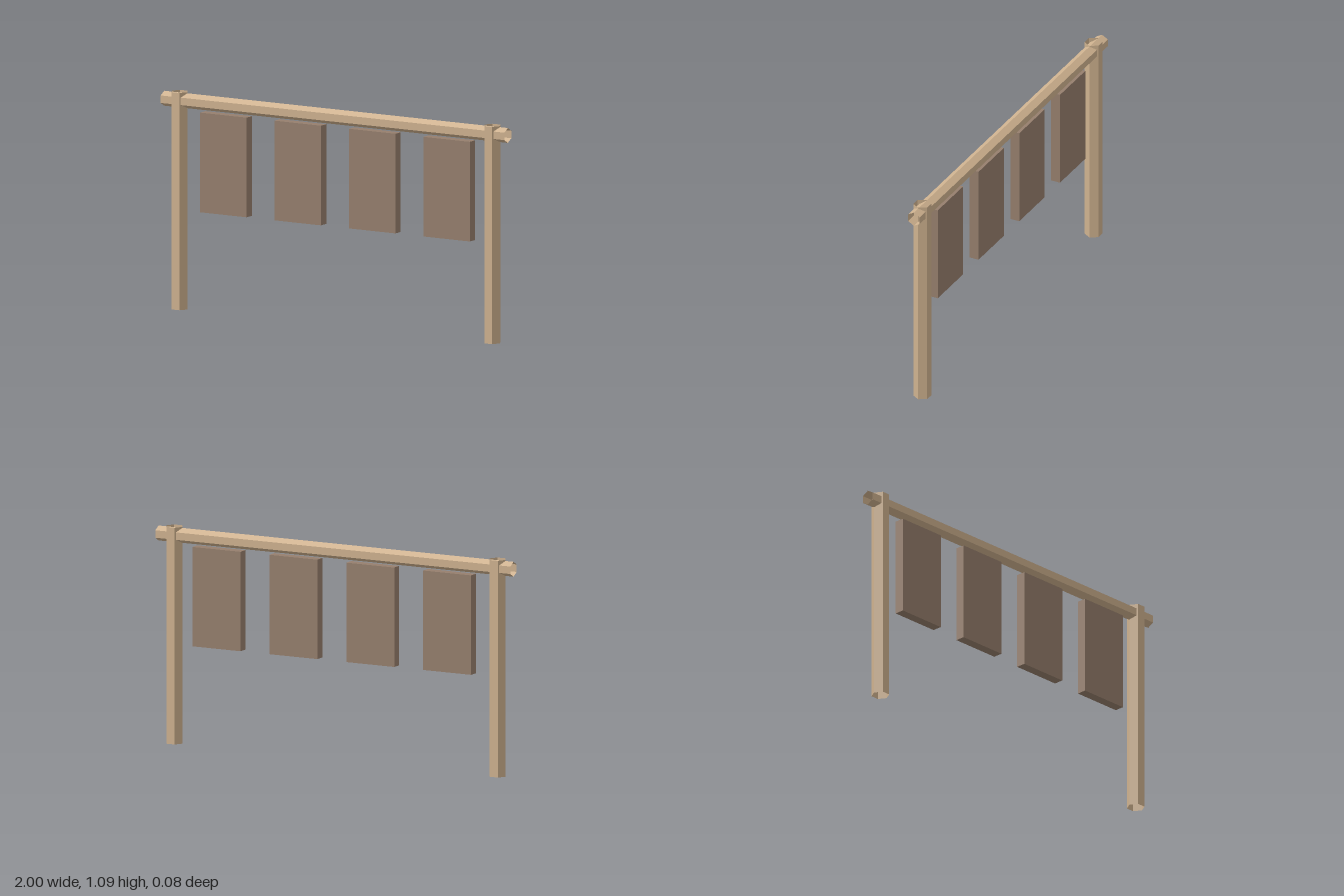
import * as THREE from 'three';

export function createModel() {
  const model = new THREE.Group();
  model.name = 'hangingPanelFrame';

  const wood = new THREE.MeshStandardMaterial({ color: 0xcfb28f, flatShading: true, side: THREE.DoubleSide });
  wood.name = 'light wood';
  const panelWood = new THREE.MeshStandardMaterial({ color: 0x967f6d, flatShading: true });
  panelWood.name = 'dark wood';

  // Open six-sided tube along y
  const hexTube = (radius, length) => new THREE.CylinderGeometry(radius, radius, length, 6, 1, true);

  const add = (name, geometry, material, x, y) => {
    const mesh = new THREE.Mesh(geometry, material);
    mesh.name = name;
    mesh.position.set(x, y, 0);
    model.add(mesh);
  };

  // Posts, with a flat side towards the front
  const postHeight = 1.09;
  const postGeometry = hexTube(0.045, postHeight).rotateY(Math.PI / 6);
  add('rightPost', postGeometry, wood, -0.91, postHeight / 2);
  add('leftPost', postGeometry, wood, 0.91, postHeight / 2);

  // Crossbeam, with an edge on top
  const beamGeometry = hexTube(0.0375, 2).rotateY(Math.PI / 2).rotateZ(Math.PI / 2);
  add('crossbeam', beamGeometry, wood, 0, 1.0475);

  // Four panels hanging just below the beam
  const panelGeometry = new THREE.BoxGeometry(0.27, 0.5, 0.05);
  for (let i = 0; i < 4; i++) {
    add(`panel${i + 1}`, panelGeometry, panelWood, -0.64 + i * 0.433, 0.75);
  }

  return model;
}
